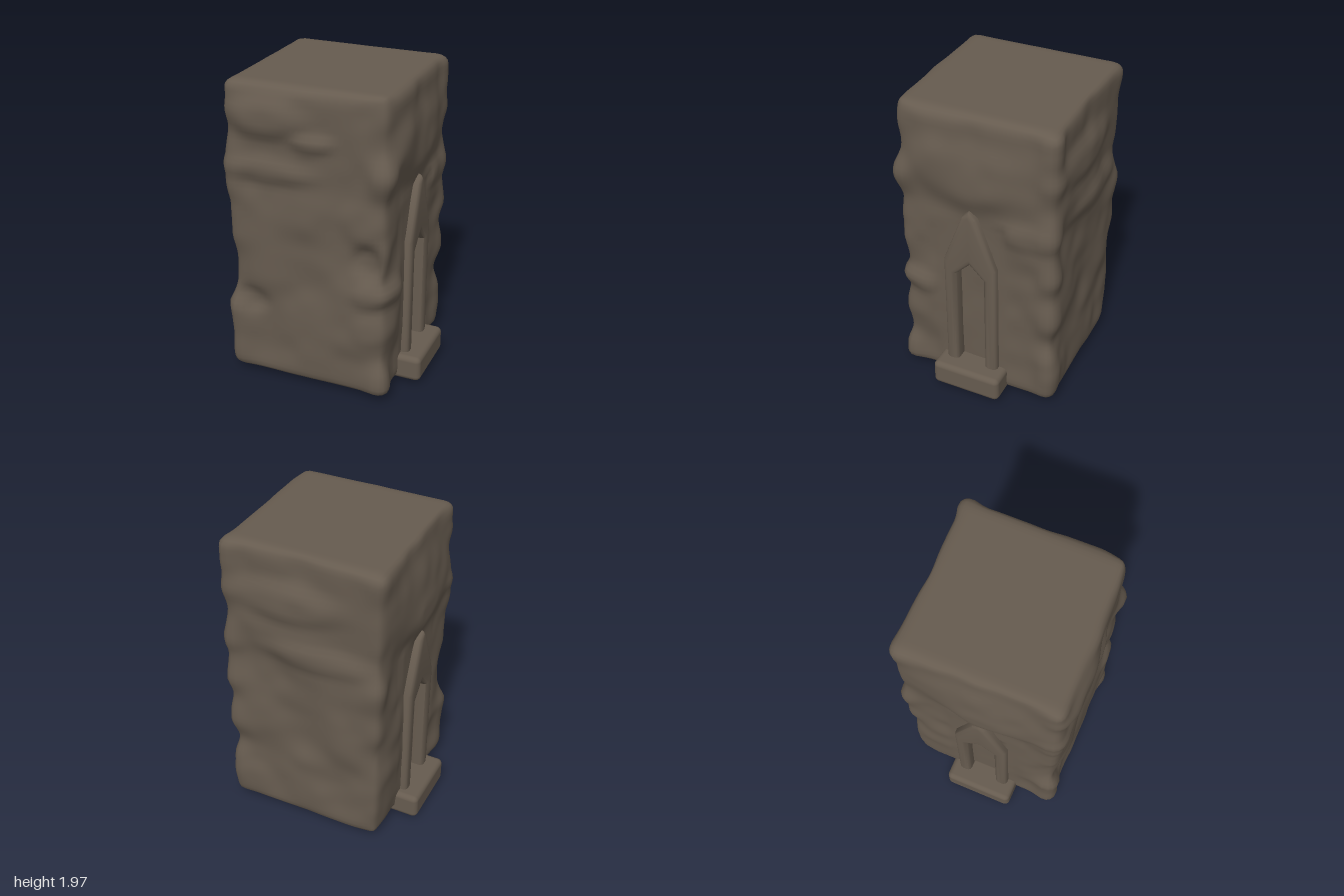
import * as THREE from 'three';
import { mergeVertices, toCreasedNormals } from 'three/addons/utils/BufferGeometryUtils.js';
import { RoundedBoxGeometry } from 'three/addons/geometries/RoundedBoxGeometry.js';

const stone = new THREE.MeshStandardMaterial({ color: 0x665b4f });
stone.name = 'dark stone';

// Smooth repeatable value noise in -1..1
function hash(x, y, z) {
  const s = Math.sin(x * 127.1 + y * 311.7 + z * 74.7) * 43758.5453;
  return (s - Math.floor(s)) * 2 - 1;
}
function noise(x, y, z) {
  const ix = Math.floor(x), iy = Math.floor(y), iz = Math.floor(z);
  const ease = (t) => t * t * (3 - 2 * t);
  const fx = ease(x - ix), fy = ease(y - iy), fz = ease(z - iz);
  let sum = 0;
  for (let c = 0; c < 8; c++) {
    const a = c & 1, b = (c >> 1) & 1, d = c >> 2;
    sum += hash(ix + a, iy + b, iz + d) * (a ? fx : 1 - fx) * (b ? fy : 1 - fy) * (d ? fz : 1 - fz);
  }
  return sum;
}

// Bumps and hollows: centre x, y, z, half sizes, height
const bumps = [
  [-0.25, 1.45, 0.5, 0.3, 0.07, 0.2, 0.03],
  [0.05, 1.66, 0.5, 0.13, 0.05, 0.2, 0.03],
  [0.42, 0.74, 0.5, 0.11, 0.08, 0.15, 0.03],
  [0.4, 0.96, 0.5, 0.1, 0.1, 0.15, -0.04],
  [0.35, 1.2, 0.5, 0.13, 0.13, 0.15, 0.02],
  [-0.38, 0.56, 0.5, 0.12, 0.08, 0.15, -0.03],
  [0.42, 0.5, 0.5, 0.12, 0.1, 0.15, 0.015],
  [-0.25, 1.78, 0.5, 0.25, 0.12, 0.15, 0.045],
  [0.5, 1.6, 0.1, 0.15, 0.2, 0.4, 0.045],
  [0.5, 1.27, -0.35, 0.15, 0.08, 0.2, 0.02],
  [0.5, 0.74, 0.38, 0.15, 0.07, 0.14, 0.02],
  [-0.5, 1.6, 0, 0.15, 0.24, 0.45, 0.05],
  [0.1, 1.66, -0.5, 0.35, 0.12, 0.15, 0.045],
  [-0.1, 1.32, -0.5, 0.35, 0.08, 0.15, 0.025],
  [0.1, 1.0, -0.5, 0.25, 0.2, 0.15, -0.015],
  [0.38, 0.22, -0.5, 0.14, 0.12, 0.15, 0.02],
];

// Rounded block with rough sides and a nearly flat top and base
function rockGeometry() {
  const half = new THREE.Vector3(0.514, 0.97, 0.512), r = 0.06;
  const box = new THREE.BoxGeometry(2 * half.x, 2 * half.y, 2 * half.z, 32, 58, 32);
  box.deleteAttribute('uv');
  box.deleteAttribute('normal');
  const geo = mergeVertices(box);
  const pos = geo.attributes.position;
  const hi = half.clone().subScalar(r), lo = hi.clone().negate();
  const p = new THREE.Vector3(), core = new THREE.Vector3(), n = new THREE.Vector3();
  for (let i = 0; i < pos.count; i++) {
    p.fromBufferAttribute(pos, i);
    core.copy(p).clamp(lo, hi);
    n.copy(p).sub(core).normalize();
    p.copy(core).addScaledVector(n, r);
    p.y += 1.012;
    let d = noise(p.x * 3.6 + 9, p.y * 4.2, p.z * 3.6) * 0.02
      + noise(p.x * 8, p.y * 8 + 5, p.z * 8) * 0.007;
    for (const [x, y, z, a, b, c, h] of bumps) {
      const q = ((p.x - x) / a) ** 2 + ((p.y - y) / b) ** 2 + ((p.z - z) / c) ** 2;
      d += h * Math.exp(-q * q);
    }
    // Chipped upright corners
    const corner = THREE.MathUtils.smoothstep(Math.min(Math.abs(p.x), Math.abs(p.z)), 0.34, 0.5);
    d += corner * (0.004 + 0.03 * noise(Math.sign(p.x) * 2 + 5, p.y * 6, Math.sign(p.z) * 3 + 5));
    // Calm wall behind the arches, hollowed inside the frames
    const fromArch = Math.abs(p.z - 0.02);
    if (Math.abs(p.x) > 0.4 && fromArch < 0.24 && p.y < 1.3) {
      d = Math.min(d * 0.3, 0.006);
      if (fromArch < 0.11 && p.y > 0.15 && p.y < 1.05) d -= 0.035;
    }
    d = THREE.MathUtils.clamp(d, -0.045, 0.056);
    const side = Math.hypot(n.x, n.z);
    p.x += n.x * d * side;
    p.z += n.z * d * side;
    pos.setXYZ(i, p.x, p.y, p.z);
  }
  geo.computeVertexNormals();
  return geo;
}

// Pointed arch outline: half width, foot, shoulder and apex heights
function archPoints(w, foot, shoulder, apex) {
  const tip = w * 0.14;
  return [[-w, foot], [w, foot], [w, shoulder], [tip, apex - tip], [0, apex], [-tip, apex - tip], [-w, shoulder]]
    .map(([x, y]) => new THREE.Vector2(x, y));
}

function createAlcove(sign, drop) {
  const alcove = new THREE.Group();
  alcove.name = sign > 0 ? 'leftAlcove' : 'rightAlcove';
  const add = (geo, name) => {
    const mesh = new THREE.Mesh(geo, stone);
    mesh.name = name;
    alcove.add(mesh);
    return mesh;
  };

  // Bevelled arch frame around the hollow, its foot sunk in the doorstep
  const shape = new THREE.Shape(archPoints(0.145, 0.1, 0.98, 1.33));
  shape.holes.push(new THREE.Path(archPoints(0.122, 0.13, 0.91, 1.03).reverse()));
  const frame = new THREE.ExtrudeGeometry(shape, {
    depth: 0.08, bevelEnabled: true, bevelThickness: 0.025, bevelSize: 0.03, bevelSegments: 3,
  });
  add(toCreasedNormals(frame, 0.6), 'archFrame').position.set(0, 0, 0.455);

  // Doorstep with worn corners
  const step = new RoundedBoxGeometry(0.46, 0.17, 0.255, 3, 0.035);
  add(step, 'doorstep').position.set(0, 0.125, 0.53);

  alcove.rotation.y = sign * Math.PI / 2;
  alcove.position.set(0, -drop, 0.02);
  return alcove;
}

export function createModel() {
  const model = new THREE.Group();
  model.name = 'stoneBlock';
  const rock = new THREE.Mesh(rockGeometry(), stone);
  rock.name = 'rock';
  model.add(rock, createAlcove(1, 0), createAlcove(-1, 0.03));
  return model;
}
